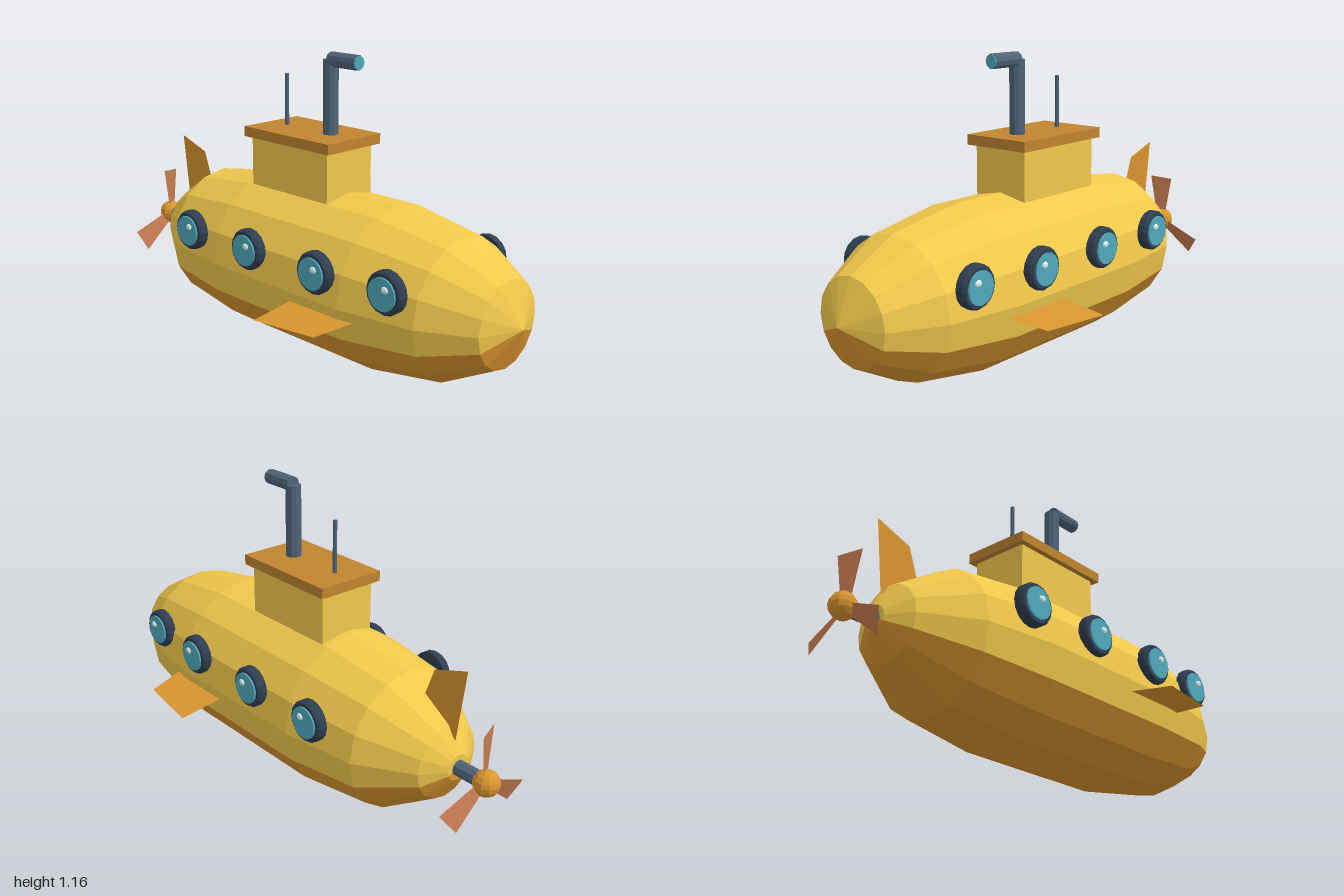
import * as THREE from 'three';

const mat = (color, extra = {}) => new THREE.MeshStandardMaterial({ color, flatShading: true, ...extra });
const yellow = mat(0xf2c94c), orange = mat(0xd9952f), roofMat = mat(0xc0842f);
const steel = mat(0x4f6478), dark = mat(0x2f3e50), glass = mat(0x4fa9bb), shine = mat(0xdff2f5);
const finMat = mat(0xd9952f, { side: THREE.DoubleSide });
const copper = mat(0xc47a50, { side: THREE.DoubleSide });
const AXIS_Y = 0.32;

function add(parent, name, geometry, material, x = 0, y = 0, z = 0) {
  const mesh = new THREE.Mesh(geometry, material);
  mesh.name = name;
  mesh.position.set(x, y, z);
  parent.add(mesh);
  return mesh;
}

// Flat sheet through corners given in order
function sheet(corners) {
  const g = new THREE.BufferGeometry();
  g.setAttribute('position', new THREE.Float32BufferAttribute(corners.flat(), 3));
  g.setIndex([0, 1, 2, 0, 2, 3]);
  g.computeVertexNormals();
  return g;
}

// Cylinder lying along x
const rodX = (r, length, sides) => new THREE.CylinderGeometry(r, r, length, sides).rotateZ(-Math.PI / 2);

function porthole(x, z) {
  const g = new THREE.Group();
  g.name = 'porthole';
  // Chamfered rim
  const rim = [[0, 0], [0.08, 0], [0.08, 0.028], [0.073, 0.038], [0.06, 0.038], [0.06, 0.03]]
    .map(p => new THREE.Vector2(...p));
  add(g, 'portholeRim', new THREE.LatheGeometry(rim, 16).rotateX(Math.PI / 2), dark);
  add(g, 'portholeGlass', new THREE.CylinderGeometry(0.061, 0.061, 0.016, 16).rotateX(Math.PI / 2), glass, 0, 0, 0.037);
  const glint = add(g, 'portholeGlint', new THREE.SphereGeometry(0.016, 8, 6), shine, 0.016, 0.02, 0.045);
  glint.scale.set(1, 0.8, 0.5);
  g.position.set(x, 0.43, z);
  return g;
}

export function createModel() {
  const sub = new THREE.Group();
  sub.name = 'submarine';

  // Sixteen-sided hull: yellow upper shell and orange belly
  const profile = [[0, -0.82], [0.05, -0.82], [0.145, -0.765], [0.277, -0.56], [0.318, -0.25],
    [0.318, 0.43], [0.268, 0.74], [0.163, 0.935], [0, 1]].map(p => new THREE.Vector2(...p));
  const shell = (start, segs) =>
    new THREE.LatheGeometry(profile, segs, start * Math.PI / 8, segs * Math.PI / 8).rotateZ(-Math.PI / 2);
  add(sub, 'hullUpper', shell(7, 10), yellow, 0, AXIS_Y);
  add(sub, 'hullBelly', shell(1, 6), orange, 0, AXIS_Y);

  // Conning tower
  add(sub, 'tower', new THREE.BoxGeometry(0.415, 0.25, 0.24), yellow, -0.02, 0.69);
  add(sub, 'towerRoof', new THREE.BoxGeometry(0.465, 0.04, 0.284), roofMat, -0.018, 0.83);

  // Periscope and antenna
  add(sub, 'periscopeTube', new THREE.CylinderGeometry(0.03, 0.03, 0.3, 10), steel, 0.088, 0.985);
  add(sub, 'periscopeHead', rodX(0.029, 0.14, 10), steel, 0.16, 1.136);
  add(sub, 'periscopeLens', rodX(0.026, 0.008, 10), glass, 0.231, 1.136);
  add(sub, 'antenna', new THREE.CylinderGeometry(0.008, 0.009, 0.21, 6), steel, -0.155, 0.95);

  // Portholes and diving fins on both sides
  for (const side of [1, -1]) {
    const row = new THREE.Group();
    row.name = side > 0 ? 'portholesFront' : 'portholesBack';
    for (const [x, z] of [[-0.383, 0.298], [-0.038, 0.298], [0.325, 0.298], [0.635, 0.266]]) {
      row.add(porthole(x, z));
    }
    if (side < 0) row.scale.z = -1;
    sub.add(row);
    add(sub, 'divingFin', sheet([[0.185, 0.284, 0.28 * side], [0.5, 0.284, 0.28 * side],
      [0.455, 0.262, 0.452 * side], [0.185, 0.256, 0.488 * side]]), finMat);
  }

  // Tail fin
  add(sub, 'tailFin', sheet([[-0.8, 0.42, 0], [-0.63, 0.5, 0], [-0.685, 0.65, 0], [-0.835, 0.7, 0]]), finMat);

  // Propeller: shaft, hub and three pitched blades
  const propeller = new THREE.Group();
  propeller.name = 'propeller';
  propeller.position.set(-0.95, AXIS_Y, 0);
  add(propeller, 'propellerShaft', rodX(0.03, 0.14, 10), steel, 0.085);
  add(propeller, 'propellerHub', new THREE.SphereGeometry(0.05, 10, 8), orange);
  for (let i = 0; i < 3; i++) {
    const blade = sheet([[0, 0.03, -0.02], [0, 0.03, 0.02], [0, 0.205, 0.05], [0, 0.195, -0.045]]);
    blade.rotateY(0.35).rotateX(i * Math.PI * 2 / 3);
    add(propeller, 'propellerBlade', blade, copper, 0.008);
  }
  sub.add(propeller);

  return sub;
}
